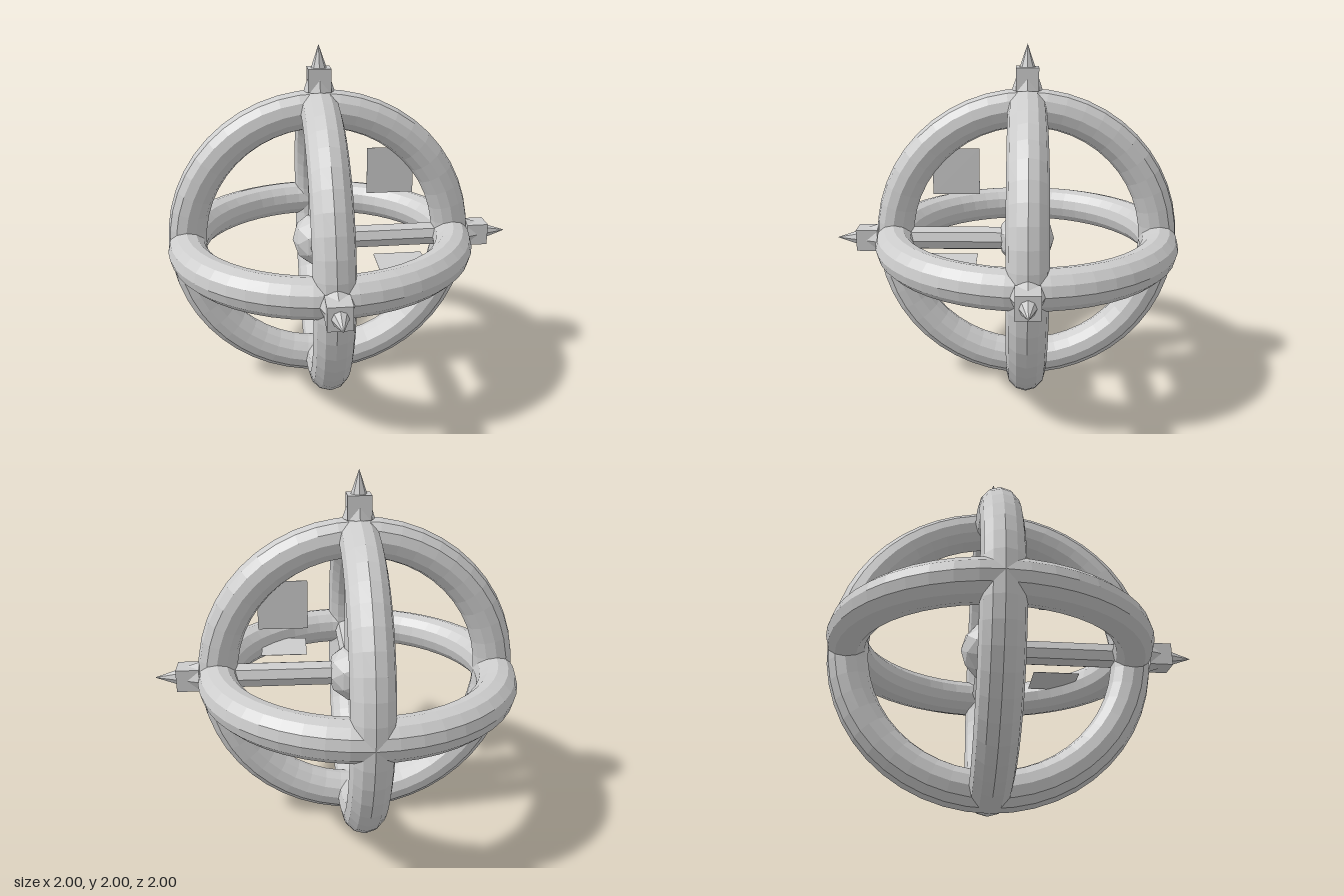
import * as THREE from 'three';

export function createModel() {
  const model = new THREE.Group();
  model.name = 'axisGizmo';
  const grey = new THREE.MeshStandardMaterial({ color: 0xcccccc, flatShading: true, side: THREE.DoubleSide });
  grey.name = 'light grey';

  const core = new THREE.Group();
  core.name = 'core';
  core.position.set(-0.12, 0.88, -0.12);
  model.add(core);

  const add = (parent, name, geometry) => {
    const mesh = new THREE.Mesh(geometry, grey);
    mesh.name = name;
    parent.add(mesh);
    return mesh;
  };

  // Faceted centre ball
  add(core, 'centreBall', new THREE.IcosahedronGeometry(0.167, 1));

  // One arm, ring and square handle per axis; each is built along +y and turned
  const ringGeometry = new THREE.TorusGeometry(0.772, 0.108, 12, 48);
  const rodGeometry = new THREE.CylinderGeometry(0.07, 0.07, 0.86, 8);
  const cubeGeometry = new THREE.BoxGeometry(0.126, 0.126, 0.126);
  const spikeGeometry = new THREE.ConeGeometry(0.086, 0.25, 8);
  const handleGeometry = new THREE.BoxGeometry(0.27, 0.27, 0.002);

  const axes = [
    { name: 'side', arm: [0, 0, -Math.PI / 2], plane: [0, Math.PI / 2, 0], handle: [0, 0.405, 0.405] },
    { name: 'upright', arm: [0, 0, 0], plane: [Math.PI / 2, 0, 0], handle: [0.405, 0, 0.405] },
    { name: 'front', arm: [Math.PI / 2, 0, 0], plane: [0, 0, 0], handle: [0.405, 0.405, 0] },
  ];

  for (const axis of axes) {
    // Rod with a cube and a spike through its end
    const arm = new THREE.Group();
    arm.name = axis.name + 'Arm';
    arm.rotation.set(...axis.arm);
    core.add(arm);
    add(arm, 'rod', rodGeometry).position.y = 0.43;
    add(arm, 'endCube', cubeGeometry).position.y = 0.933;
    add(arm, 'spike', spikeGeometry).position.y = 0.995;

    // Rotation ring around the axis
    add(core, axis.name + 'Ring', ringGeometry).rotation.set(...axis.plane);

    // Thin square handle lying in the ring's plane
    const handle = add(core, axis.name + 'PlaneHandle', handleGeometry);
    handle.rotation.set(...axis.plane);
    handle.position.set(...axis.handle);
  }

  return model;
}
